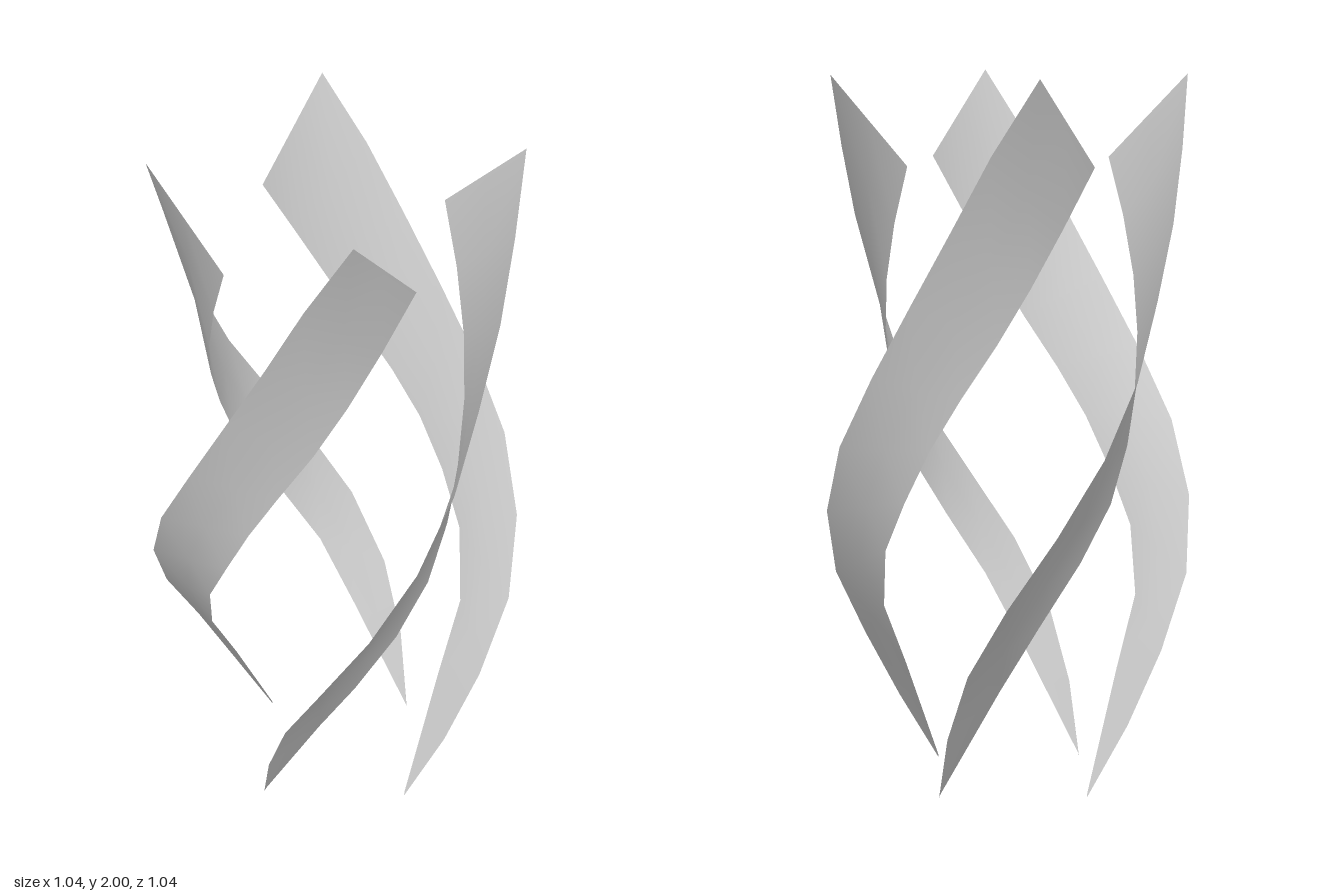
import * as THREE from 'three';

// Matching stations along the two edges of one ribbon, from tip to top: [x, y, z]
const outerEdge = [
  [-0.29, 0, 0.04], [-0.34, 0.2, 0.145], [-0.355, 0.4, 0.255], [-0.32, 0.6, 0.38],
  [-0.225, 0.8, 0.475], [-0.1, 1, 0.518], [0.03, 1.2, 0.503], [0.14, 1.4, 0.455],
  [0.245, 1.6, 0.4], [0.335, 1.8, 0.335], [0.43, 2, 0.25],
];
const innerEdge = [
  [-0.288, 0.01, 0.042], [-0.212, 0.33, 0.215], [-0.165, 0.52, 0.325], [-0.07, 0.7, 0.388],
  [0.03, 0.85, 0.395], [0.11, 1, 0.37], [0.18, 1.14, 0.32], [0.25, 1.29, 0.25],
  [0.3, 1.44, 0.175], [0.335, 1.6, 0.09], [0.357, 1.76, 0],
];

// Ribbon surface: straight rungs between the edges, split at the middle
function ribbonGeometry(columns = 2) {
  const positions = [];
  const indices = [];
  const row = columns + 1;
  outerEdge.forEach((a, i) => {
    const start = new THREE.Vector3(...a);
    const end = new THREE.Vector3(...innerEdge[i]);
    for (let j = 0; j <= columns; j++) {
      positions.push(...start.clone().lerp(end, j / columns).toArray());
    }
    if (i === 0) return;
    for (let j = 0; j < columns; j++) {
      const p = (i - 1) * row + j;
      const q = p + row;
      indices.push(p, p + 1, q, p + 1, q + 1, q);
    }
  });
  const geometry = new THREE.BufferGeometry();
  geometry.setAttribute('position', new THREE.Float32BufferAttribute(positions, 3));
  geometry.setIndex(indices);
  geometry.computeVertexNormals();
  return geometry;
}

export function createModel() {
  const group = new THREE.Group();
  group.name = 'twistedRibbons';
  const material = new THREE.MeshStandardMaterial({ color: 0xcccccc, side: THREE.DoubleSide });
  const geometry = ribbonGeometry();

  // Four equal ribbons around the vertical axis
  ['front', 'left', 'back', 'right'].forEach((side, i) => {
    const ribbon = new THREE.Mesh(geometry, material);
    ribbon.name = `${side}Ribbon`;
    ribbon.rotation.y = (i * Math.PI) / 2;
    group.add(ribbon);
  });
  return group;
}
